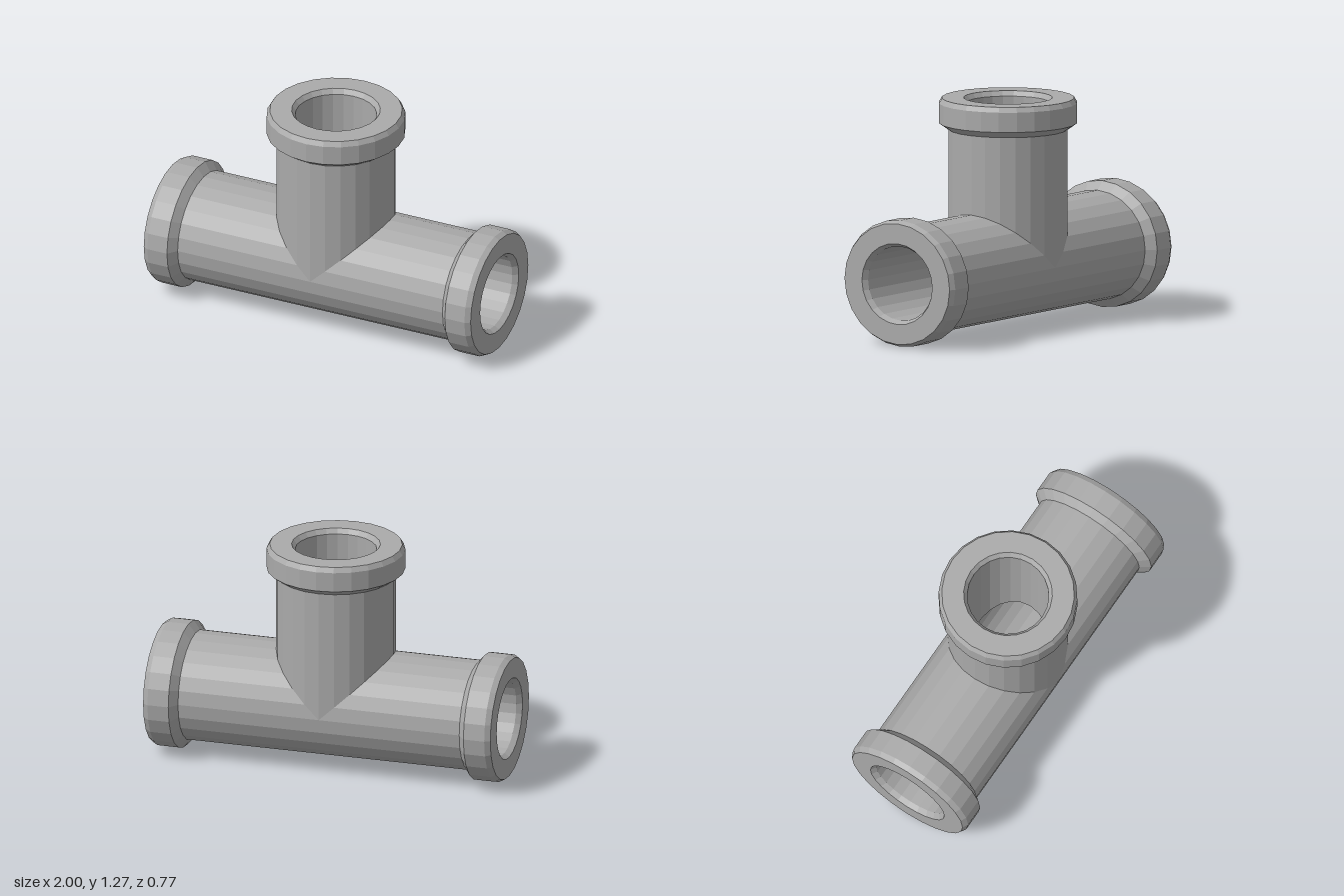
import * as THREE from 'three';

const SIDES = 24;
const SQUASH = 0.92; // the fitting is slightly flattened in height
const AXIS_Y = 0.352;

// Profiles as [radius, distance along the arm]; null starts at the mitred joint
const PARTS = {
  Pipe: [[0.33, null], [0.33, 0.81]],
  Collar: [[0.33, 0.81], [0.383, 0.85], [0.383, 0.97], [0.366, 1], [0.245, 1], [0.225, 0.97]],
  Bore: [[0.225, 0.97], [0.225, null]],
};

const X = new THREE.Vector3(1, 0, 0);
const Y = new THREE.Vector3(0, 1, 0);
const Z = new THREE.Vector3(0, 0, 1);

// Arms as axis plus two ring directions, and where each ring point meets its neighbours
const alongJoint = (p) => Math.max(0, p.y);
const ARMS = [
  { name: 'left', axis: X, u: Y, v: Z, joint: alongJoint },
  { name: 'right', axis: X.clone().negate(), u: Z, v: Y, joint: alongJoint },
  { name: 'top', axis: Y, u: Z, v: X, joint: (p) => Math.abs(p.x) },
];

// Facetted surface swept around an arm
function sweep(profile, { axis, u, v, joint }) {
  const point = ([r, t], k) => {
    const a = (k % SIDES) / SIDES * Math.PI * 2;
    const p = new THREE.Vector3()
      .addScaledVector(u, r * Math.cos(a))
      .addScaledVector(v, r * Math.sin(a));
    return p.addScaledVector(axis, t === null ? joint(p) : t);
  };
  const corners = [];
  for (let i = 0; i < profile.length - 1; i++) {
    for (let k = 0; k < SIDES; k++) {
      const a = point(profile[i], k), b = point(profile[i], k + 1);
      const c = point(profile[i + 1], k + 1), d = point(profile[i + 1], k);
      corners.push(a, b, c, a, c, d);
    }
  }
  const geometry = new THREE.BufferGeometry().setFromPoints(corners);
  geometry.scale(1, SQUASH, 1);
  geometry.translate(0, AXIS_Y, 0);
  geometry.computeVertexNormals();
  return geometry;
}

export function createModel() {
  const group = new THREE.Group();
  group.name = 'teePipeFitting';
  const grey = new THREE.MeshStandardMaterial({ color: 0xaaaaaa });
  grey.name = 'grey';

  for (const arm of ARMS) {
    for (const [part, profile] of Object.entries(PARTS)) {
      const mesh = new THREE.Mesh(sweep(profile, arm), grey);
      mesh.name = arm.name + part;
      group.add(mesh);
    }
  }
  return group;
}
